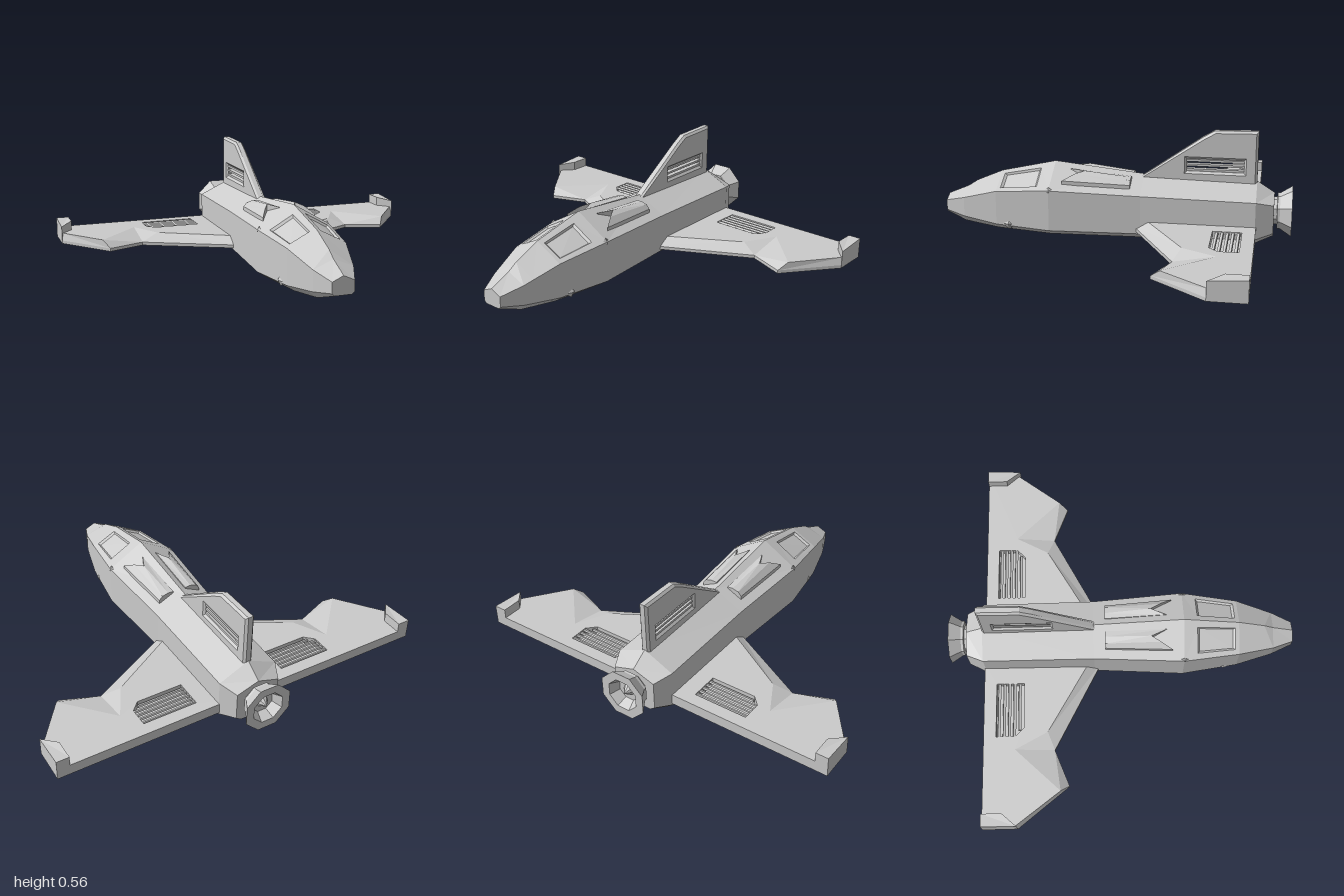
import * as THREE from 'three';

const grey = new THREE.MeshStandardMaterial({ color: 0xcccccc, flatShading: true, side: THREE.DoubleSide });

function add(parent, name, geo) {
  const m = new THREE.Mesh(geo, grey);
  m.name = name;
  parent.add(m);
  return m;
}

// Non-indexed geometry from a list of quads / triangles (arrays of Vector3)
function fromFaces(faces) {
  const pos = [];
  for (const f of faces)
    for (let i = 1; i < f.length - 1; i++)
      for (const p of [f[0], f[i], f[i + 1]]) pos.push(p.x, p.y, p.z);
  const g = new THREE.BufferGeometry();
  g.setAttribute('position', new THREE.Float32BufferAttribute(pos, 3));
  g.computeVertexNormals();
  return g;
}

// Copy reflected across x = 0 with corner order restored
function mirrored(geo) {
  const p = (geo.index ? geo.toNonIndexed() : geo).attributes.position;
  const out = [];
  for (let i = 0; i < p.count; i += 3)
    for (const k of [i, i + 2, i + 1]) out.push(-p.getX(k), p.getY(k), p.getZ(k));
  const g = new THREE.BufferGeometry();
  g.setAttribute('position', new THREE.Float32BufferAttribute(out, 3));
  g.computeVertexNormals();
  return g;
}

function addPair(parent, name, geo) {
  add(parent, name + 'Left', geo);
  add(parent, name + 'Right', mirrored(geo));
}

// Sunken panel inside a quad a-b-c-d
function insetFaces(a, b, c, d, [u0, u1, v0, v1], depth) {
  const at = (u, v) => a.clone().lerp(b, u).lerp(d.clone().lerp(c, u), v);
  const n = b.clone().sub(a).cross(d.clone().sub(a)).normalize().multiplyScalar(-depth);
  const outer = [a, b, c, d];
  const rim = [at(u0, v0), at(u1, v0), at(u1, v1), at(u0, v1)];
  const du = 0.04;
  const floor = [at(u0 + du, v0 + du), at(u1 - du, v0 + du), at(u1 - du, v1 - du), at(u0 + du, v1 - du)].map(p => p.add(n));
  const faces = [floor];
  for (let i = 0; i < 4; i++) {
    const j = (i + 1) % 4;
    faces.push([outer[i], outer[j], rim[j], rim[i]], [rim[i], rim[j], floor[j], floor[i]]);
  }
  return faces;
}

// Half hull: z, half width, shoulder y, ridge y, chine y, keel y
function hullHalf() {
  const stations = [
    [0.91, 0.055, 0.125, 0.15, 0.072, 0.06],
    [0.8, 0.1, 0.157, 0.197, 0.055, 0.025],
    [0.75, 0.113, 0.172, 0.23, 0.05, 0.02],
    [0.61, 0.15, 0.215, 0.29, 0.037, 0.008],
    [0.32, 0.19, 0.243, 0.355, 0.03, 0],
    [-0.15, 0.16, 0.228, 0.306, 0.03, 0],
    [-0.73, 0.157, 0.222, 0.295, 0.03, 0],
    [-0.82, 0.115, 0.2, 0.238, 0.055, 0.035],
  ];
  const rings = stations.map(([z, w, sy, ry, cy, ky]) =>
    [[0, ky], [w * 0.76, ky], [w, cy], [w, sy], [0, ry]].map(([x, y]) => new THREE.Vector3(x, y, z)));
  const faces = [];
  for (let i = 0; i < rings.length - 1; i++)
    for (let j = 0; j < 4; j++) {
      const q = [rings[i][j], rings[i + 1][j], rings[i + 1][j + 1], rings[i][j + 1]];
      // cockpit window sits in the roof facet behind the nose
      if (i === 3 && j === 3) faces.push(...insetFaces(...q, [0.07, 0.76, 0.16, 0.82], 0.01));
      else faces.push(q);
    }
  const last = rings.length - 1;
  faces.push(rings[0], [...rings[last]].reverse());
  return fromFaces(faces);
}

const shapeXZ = pts => new THREE.Shape(pts.map(([x, z]) => new THREE.Vector2(x, -z)));

// Flat plate from an x-z outline, between heights y0 and y1
function plate(pts, y0, y1, hole) {
  const s = shapeXZ(pts);
  if (hole) s.holes.push(shapeXZ(hole));
  return new THREE.ExtrudeGeometry(s, { depth: y1 - y0, bevelEnabled: false }).rotateX(-Math.PI / 2).translate(0, y0, 0);
}

function buildWings(parent) {
  const wings = new THREE.Group();
  wings.name = 'wings';
  parent.add(wings);
  const edge = [[0.12, -0.11], [0.6, -0.365], [0.79, -0.29], [1, -0.555]];
  const rear = [[1, -0.735], [0.12, -0.735]];
  const top = [[0.12, -0.17], [0.51, -0.4], [0.6, -0.57], [0.82, -0.335], [1, -0.575]];
  const vent = [[0.245, -0.67], [0.53, -0.67], [0.53, -0.57], [0.485, -0.525], [0.245, -0.525]];
  addPair(wings, 'wingBase', plate([...edge, ...rear], 0.04, 0.057));
  addPair(wings, 'wingTop', plate([...top, ...rear], 0.057, 0.095, vent));

  // sloped leading edge
  const lo = [0, 1, 1, 2, 3].map(i => new THREE.Vector3(edge[i][0], 0.057, edge[i][1]));
  const hi = top.map(([x, z]) => new THREE.Vector3(x, 0.095, z));
  const band = [];
  for (let i = 0; i < 4; i++)
    band.push(i === 1 ? [lo[1], hi[2], hi[1]] : [lo[i], lo[i + 1], hi[i + 1], hi[i]]);
  addPair(wings, 'wingLeadingEdge', fromFaces(band));

  // vent slats
  for (let i = 0; i < 5; i++) {
    const z = -0.655 + i * 0.027;
    const w = i === 4 ? 0.25 : 0.285;
    addPair(wings, 'ventSlat', new THREE.BoxGeometry(w, 0.01, 0.014).rotateX(0.35).translate(0.245 + w / 2, 0.086, z));
  }

  // upturned tips, lower towards the front
  const tip = plate([[0.935, -0.735], [0.935, -0.63], [1, -0.555], [1, -0.735]], 0.045, 0.145);
  const p = tip.attributes.position;
  for (let i = 0; i < p.count; i++)
    if (p.getY(i) > 0.1 && p.getZ(i) > -0.6) p.setY(i, 0.132);
  tip.computeVertexNormals();
  addPair(wings, 'wingtip', tip);
}

function buildFin(parent) {
  const fin = new THREE.Group();
  fin.name = 'tailFin';
  parent.add(fin);
  const v = pts => pts.map(([z, y]) => new THREE.Vector2(-z, y));
  const s = new THREE.Shape(v([[-0.13, 0.29], [-0.73, 0.27], [-0.73, 0.555], [-0.51, 0.55], [-0.45, 0.515]]));
  s.holes.push(new THREE.Path(v([[-0.37, 0.335], [-0.37, 0.4], [-0.66, 0.4], [-0.66, 0.335]])));
  const geo = new THREE.ExtrudeGeometry(s, {
    depth: 0.026, bevelThickness: 0.011, bevelSize: 0.012, bevelOffset: -0.012, bevelSegments: 1,
  });
  add(fin, 'finBlade', geo.translate(0, 0, -0.013).rotateY(Math.PI / 2));
  for (const y of [0.342, 0.367, 0.391])
    add(fin, 'finSlat', new THREE.BoxGeometry(0.03, 0.011, 0.3).translate(0, y, -0.515));
}

// Roof intake: a raised wedge with a notched front
function intakeHalf() {
  const V = (x, y, z) => new THREE.Vector3(x, y, z);
  const front = [V(0.04, 0.326, 0.23), V(0.075, 0.328, 0.15), V(0.105, 0.316, 0.2), V(0.138, 0.285, 0.26)];
  const back = [V(0.035, 0.3, -0.09), V(0.065, 0.302, -0.09), V(0.1, 0.293, -0.09), V(0.118, 0.272, -0.09)];
  const drop = p => p.clone().setY(p.y - 0.05);
  const faces = [];
  for (let i = 0; i < 3; i++) {
    faces.push([front[i], front[i + 1], back[i + 1], back[i]]);
    faces.push([drop(front[i]), drop(front[i + 1]), front[i + 1], front[i]]);
    faces.push([back[i], back[i + 1], drop(back[i + 1]), drop(back[i])]);
  }
  faces.push([front[3], drop(front[3]), drop(back[3]), back[3]]);
  faces.push([drop(front[0]), front[0], back[0], drop(back[0])]);
  return fromFaces(faces);
}

export function createModel() {
  const model = new THREE.Group();
  model.name = 'spaceplane';

  addPair(model, 'hull', hullHalf());
  addPair(model, 'roofIntake', intakeHalf());
  buildWings(model);
  buildFin(model);

  // small faceted side ports
  for (const [x, y, z, r] of [[0.18, 0.235, 0.32, 0.028], [0.152, 0.045, 0.54, 0.034]])
    addPair(model, 'sidePort', new THREE.OctahedronGeometry(r).scale(0.45, 0.9, 1.2).translate(x, y, z));

  // eight-sided engine: neck, hollow bell and inner spike
  const profile = [[0.07, 0.78], [0.07, 0.835], [0.092, 0.837], [0.092, 0.85], [0.13, 0.91], [0.085, 0.91], [0.06, 0.86], [0, 0.86]];
  const bell = new THREE.LatheGeometry(profile.map(([r, h]) => new THREE.Vector2(r, h)), 8, Math.PI / 8);
  add(model, 'engineBell', bell.rotateX(-Math.PI / 2).translate(0, 0.143, 0));
  add(model, 'engineSpike', new THREE.ConeGeometry(0.03, 0.04, 8).rotateX(-Math.PI / 2).translate(0, 0.143, -0.88));

  return model;
}
